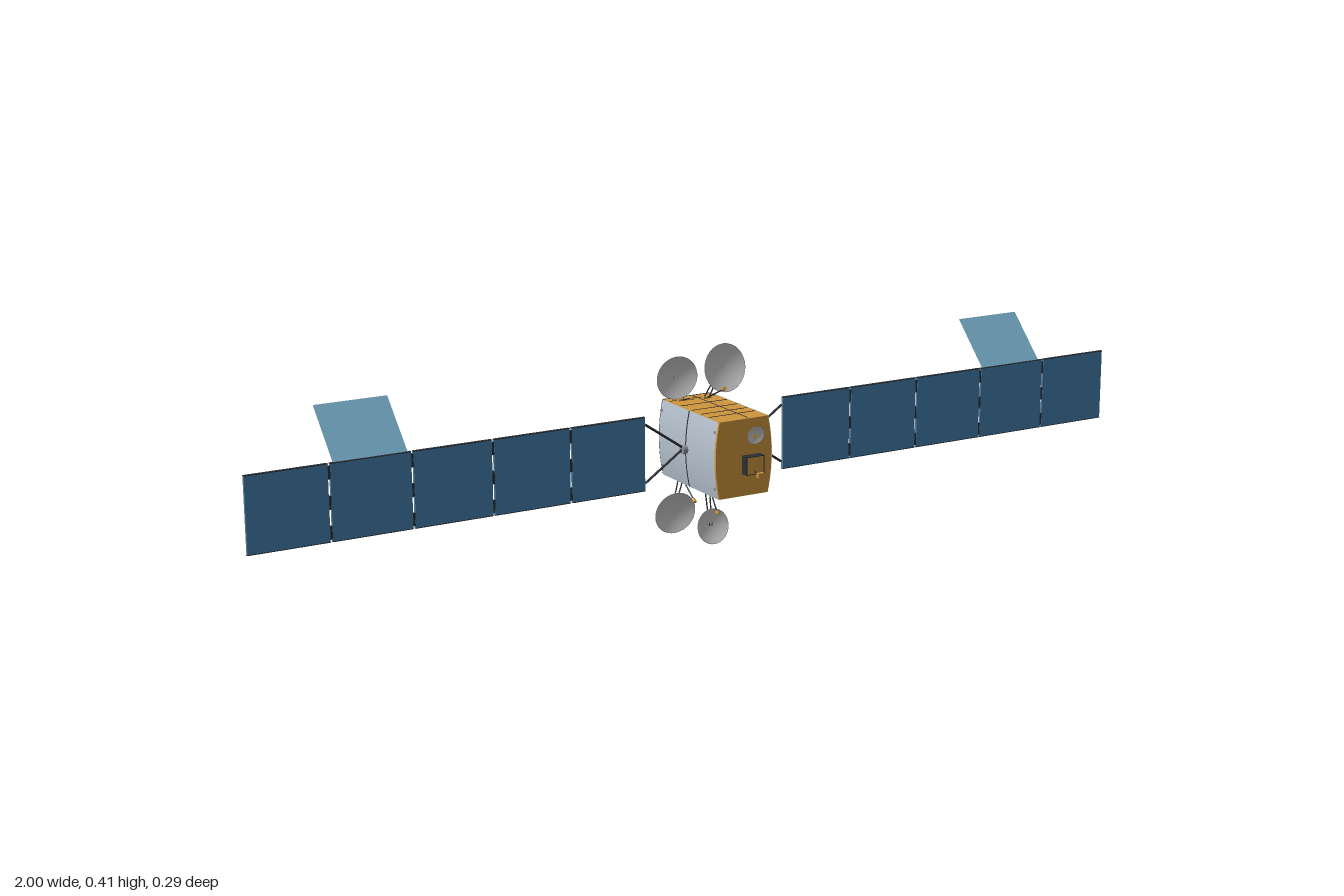
import * as THREE from 'three';

const mat = (name, color, side = THREE.FrontSide) => {
  const m = new THREE.MeshStandardMaterial({ color, side });
  m.name = name;
  return m;
};
const V = (x, y, z) => new THREE.Vector3(x, y, z);

export function createModel() {
  const gold = mat('gold foil', 0xcf963d);
  const silver = mat('silver radiator', 0xb6c2cf, THREE.DoubleSide);
  const blue = mat('solar cell blue', 0x437fae);
  const pale = mat('pale blue flap', 0x72a5c0, THREE.DoubleSide);
  const backing = mat('panel backing grey', 0x74777b);
  const dark = mat('dark trim', 0x2c2f33);
  const dishGrey = mat('dish grey', 0xcacaca, THREE.DoubleSide);
  const steel = mat('steel grey', 0x8a9098);

  const model = new THREE.Group();
  model.name = 'satellite';
  const add = (name, geo, m, pos = [0, 0, 0], parent = model) => {
    const mesh = new THREE.Mesh(geo, m);
    mesh.name = name;
    mesh.position.set(...pos);
    parent.add(mesh);
    return mesh;
  };
  const box = (name, size, pos, m, parent) => add(name, new THREE.BoxGeometry(...size), m, pos, parent);
  const rod = (name, a, b, r, m, parent) => {
    const d = b.clone().sub(a);
    const mid = a.clone().add(b).multiplyScalar(0.5);
    const mesh = add(name, new THREE.CylinderGeometry(r, r, d.length(), 8), m, mid.toArray(), parent);
    mesh.quaternion.setFromUnitVectors(V(0, 1, 0), d.normalize());
    return mesh;
  };
  // disc or drum with its axis along z or x
  const drum = (name, r1, r2, h, pos, m, axis = 'z') => {
    const mesh = add(name, new THREE.CylinderGeometry(r1, r2, h, 28), m, pos);
    if (axis === 'z') mesh.rotation.x = Math.PI / 2;
    else mesh.rotation.z = Math.PI / 2;
    return mesh;
  };

  // Body: a foil box with bowed sides
  const Y = 0.214, H = 0.079, W = 0.056, BULGE = 0.009, N = 16;
  const sideX = t => W + BULGE * (1 - t * t);
  const section = new THREE.Shape();
  for (let i = 0; i <= N; i++) {
    const t = -1 + (2 * i) / N;
    if (i === 0) section.moveTo(sideX(t), t * H);
    else section.lineTo(sideX(t), t * H);
  }
  for (let i = N; i >= 0; i--) {
    const t = -1 + (2 * i) / N;
    section.lineTo(-sideX(t), t * H);
  }
  const slice = depth => new THREE.ExtrudeGeometry(section, { depth, bevelEnabled: false });
  add('body', slice(0.221), gold, [0, Y, -0.121]);
  add('rearPlate', slice(0.005), dark, [0, Y, -0.126]);

  // Thin bowed sheets over the sides, from z0 to z1
  const sideSheet = (name, s, z0, z1, off, m) => {
    const g = new THREE.PlaneGeometry(1, 1, N, 1);
    const p = g.attributes.position;
    for (let i = 0; i < p.count; i++) {
      const t = p.getX(i) * 2, v = p.getY(i) + 0.5;
      p.setXYZ(i, s * (sideX(t) + off), t * H, s > 0 ? z0 + (z1 - z0) * v : z1 + (z0 - z1) * v);
    }
    g.computeVertexNormals();
    add(name, g, m, [0, Y, 0]);
  };
  for (const s of [1, -1]) {
    sideSheet('sideRadiator', s, -0.121, 0.098, 0.002, silver);
    sideSheet('sideSeam', s, -0.0145, -0.0105, 0.003, new THREE.MeshStandardMaterial().copy(dark));
    model.children[model.children.length - 1].material = mat('dark trim', 0x2c2f33, THREE.DoubleSide);
    drum('panelHub', 0.009, 0.009, 0.014, [s * 0.07, Y + 0.001, -0.0125], steel, 'x');
    for (const y of [-0.058, 0.058]) for (const z of [-0.116, 0.092])
      drum('sideBolt', 0.003, 0.003, 0.002, [s * (sideX(y / H) + 0.0025), Y + y, z], steel, 'x');
  }

  // Seams in the foil on top and bottom
  for (const s of [1, -1]) {
    const y = Y + s * (H + 0.0003);
    for (const z of [0.055, 0.025, -0.0125, -0.055, -0.1])
      box('foilSeam', [0.108, 0.001, 0.0015], [0, y, z], dark);
    box('foilSeam', [0.0015, 0.001, 0.21], [0.012, y, -0.01], dark);
  }

  // Rear engine ring and nozzle
  const ring = add('engineRing', new THREE.LatheGeometry([
    [0.028, 0], [0.04, 0], [0.04, 0.008], [0.028, 0.008], [0.028, 0],
  ].map(p => new THREE.Vector2(...p)), 32), steel, [0, Y, -0.126]);
  ring.material = mat('steel grey', 0x8a9098, THREE.DoubleSide);
  ring.rotation.x = -Math.PI / 2;
  drum('engineBase', 0.02, 0.02, 0.005, [0, Y, -0.128], steel);
  drum('nozzle', 0.007, 0.011, 0.016, [0, Y, -0.135], gold).rotation.x = -Math.PI / 2;

  // Front equipment box, horn and seams
  box('equipmentBox', [0.04, 0.036, 0.018], [0.016, 0.2, 0.109], gold);
  for (const y of [0.182, 0.218]) box('boxTrim', [0.042, 0.0015, 0.019], [0.016, y, 0.109], dark);
  for (const x of [-0.004, 0.036]) box('boxTrim', [0.0015, 0.036, 0.019], [x, 0.2, 0.109], dark);
  rod('hornArm', V(0.014, 0.189, 0.117), V(0.014, 0.185, 0.138), 0.0015, dark);
  box('horn', [0.014, 0.01, 0.007], [0.014, 0.185, 0.1395], gold);

  // Parabolic dish whose bowl opens along the given direction
  const dish = (name, r, c, n) => {
    const g = new THREE.Group();
    g.name = name;
    g.position.copy(c);
    g.quaternion.setFromUnitVectors(V(0, 1, 0), n.clone().normalize());
    model.add(g);
    const depth = r * 0.24;
    const pts = [];
    for (let i = 0; i <= 8; i++) pts.push(new THREE.Vector2(r * i / 8, depth * ((i / 8) ** 2 - 1)));
    add('bowl', new THREE.LatheGeometry(pts, 32), dishGrey, [0, 0, 0], g);
    const rim = add('rim', new THREE.TorusGeometry(r - 0.0007, 0.0007, 6, 32), steel, [0, 0, 0], g);
    rim.rotation.x = Math.PI / 2;
    add('backHub', new THREE.CylinderGeometry(r * 0.18, r * 0.12, 0.004, 12), steel, [0, -depth - 0.002, 0], g);
  };
  dish('frontDish', 0.02, V(0.02, 0.26, 0.113), V(0, -0.25, 1));
  rod('frontDishArm', V(0.02, 0.255, 0.099), V(0.02, 0.258, 0.109), 0.005, gold);

  // Four side dishes: radius, centre, aim, foot on the body, feed position
  const dishes = [
    ['upperLeftDish', 0.05, V(0.05, 0.36, -0.055), V(0.05, 0.16, 1), V(0.025, 0.293, -0.088), V(0.028, 0.327, -0.019)],
    ['upperRightDish', 0.045, V(-0.053, 0.348, -0.071), V(-0.1, -0.05, 1), V(-0.028, 0.293, -0.097), V(-0.03, 0.309, -0.046)],
    ['lowerRightDish', 0.045, V(-0.067, 0.07, -0.0565), V(-0.08, -0.15, 1), V(-0.035, 0.135, -0.087), V(-0.037, 0.096, -0.028)],
    ['lowerLeftDish', 0.037, V(0.008, 0.0365, -0.032), V(0, 0.17, 1), V(0.008, 0.135, -0.06), V(0.01, 0.066, -0.017)],
  ];
  for (const [name, r, c, n, foot, feed] of dishes) {
    dish(name, r, c, n);
    const back = c.clone().addScaledVector(n.clone().normalize(), -r * 0.26);
    box('dishFoot', [0.018, 0.008, 0.012], foot.toArray(), gold);
    for (const s of [-1, 1])
      rod('dishStrut', foot.clone().add(V(s * 0.006, 0, 0)), back.clone().add(V(s * 0.003, 0, 0)), 0.0014, dark);
    rod('feedArm', foot, feed, 0.0014, dark);
    const aim = feed.clone().sub(foot).normalize().multiplyScalar(0.008);
    const horn = rod('feedHorn', feed.clone().sub(aim), feed, 0.0035, gold);
    horn.scale.set(1.1, 1, 1.1);
  }

  // Solar wings, mirrored
  const ZP = -0.0135, YP = 0.2175, PH = 0.151, STEP = 0.168, X0 = 0.16;
  for (const s of [1, -1]) {
    const wing = new THREE.Group();
    wing.name = s > 0 ? 'leftWing' : 'rightWing';
    model.add(wing);
    for (const e of [-1, 1])
      rod('yoke', V(s * 0.072, YP, ZP), V(s * X0, YP + e * 0.06, ZP), 0.0025, dark, wing);
    for (let i = 0; i < 5; i++) {
      const x = s * (X0 + STEP * (i + 0.5));
      box('solarPanel', [STEP - 0.005, PH, 0.003], [x, YP, ZP + 0.0015], blue, wing);
      box('panelBack', [STEP - 0.005, PH, 0.003], [x, YP, ZP - 0.0015], backing, wing);
      // edge trim and dashed wiring on the back
      for (const e of [-1, 1]) {
        box('panelEdge', [STEP - 0.004, 0.0015, 0.0066], [x, YP + e * PH / 2, ZP], dark, wing);
        for (let k = 0; k < 8; k++)
          box('wiring', [0.011, 0.0015, 0.001], [x + (k - 3.5) * 0.02, YP + e * 0.058, ZP - 0.0032], dark, wing);
      }
      // hinges between panels
      if (i > 0) for (const h of [-0.058, 0, 0.058])
        box('hinge', [0.006, 0.026, 0.005], [s * (X0 + STEP * i), YP + h, ZP], dark, wing);
    }
    // tilted flap above the fourth panel
    const flap = box('flap', [0.15, 0.126, 0.002], [s * 0.747, 0.338, -0.058], pale, wing);
    flap.rotation.x = -Math.atan2(0.087, 0.091);
  }
  return model;
}
